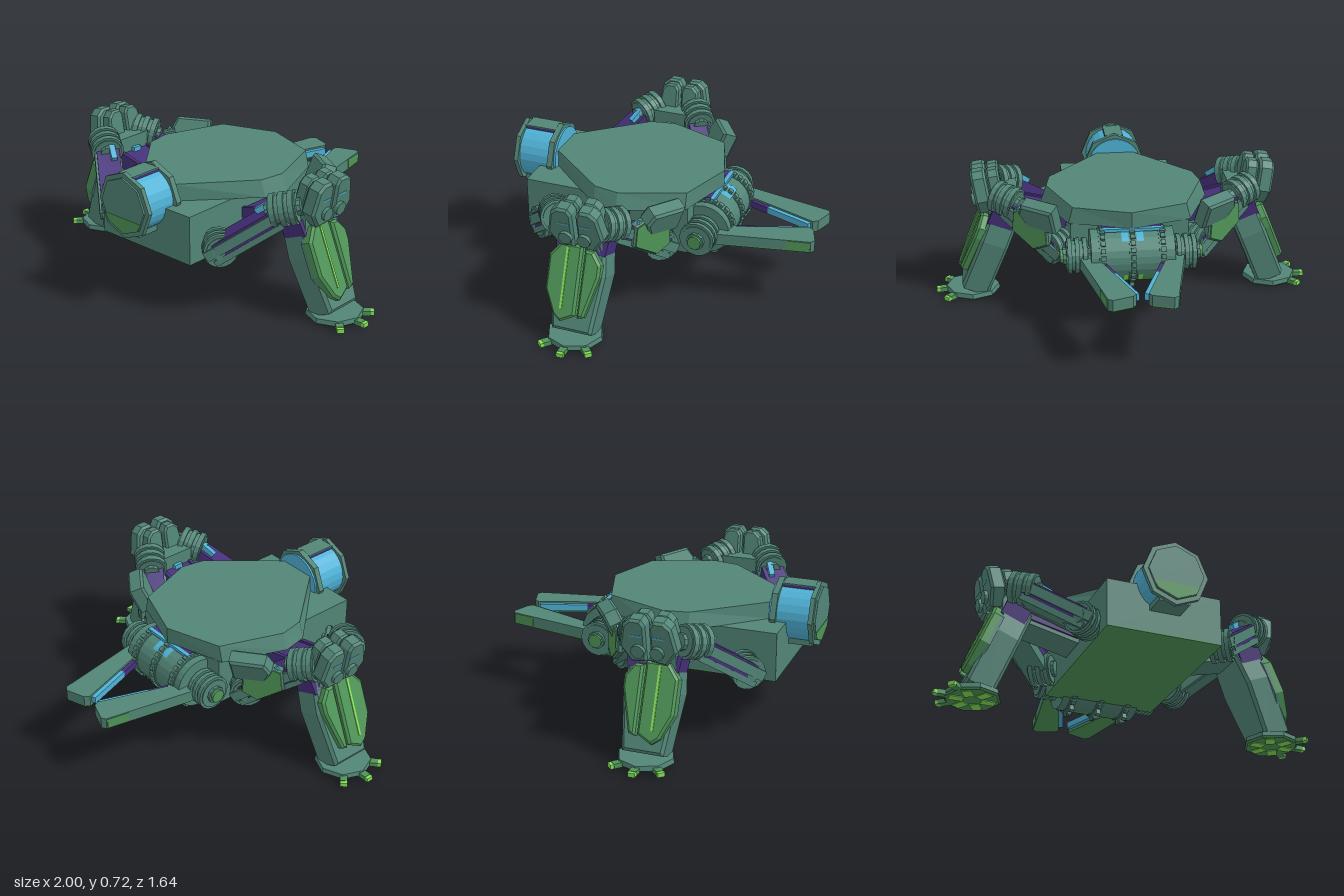
import * as THREE from 'three';

const paint = (name, color) => {
  const m = new THREE.MeshStandardMaterial({ color, flatShading: true });
  m.name = name;
  return m;
};
const V = (p) => new THREE.Vector3(...p);

export function createModel() {
  const teal = paint('teal armour', 0x528577);
  const green = paint('green panel', 0x4f9558);
  const lime = paint('lime light', 0x86e35a);
  const purple = paint('purple frame', 0x46307a);
  const blue = paint('blue inner', 0x4fb2d6);

  const root = new THREE.Group();
  root.name = 'walker';

  const add = (parent, name, geo, mat, pos = [0, 0, 0]) => {
    const m = new THREE.Mesh(geo, mat);
    m.name = name;
    m.position.set(...pos);
    parent.add(m);
    return m;
  };
  const box = (parent, name, size, pos, mat) => add(parent, name, new THREE.BoxGeometry(...size), mat, pos);
  // cylinder running from a to b
  const rod = (parent, name, a, b, r, mat, seg = 16) => {
    const m = add(parent, name, new THREE.CylinderGeometry(r, r, V(a).distanceTo(V(b)), seg), mat);
    m.position.copy(V(a).add(V(b)).multiplyScalar(0.5));
    m.quaternion.setFromUnitVectors(new THREE.Vector3(0, 1, 0), V(b).sub(V(a)).normalize());
    return m;
  };
  // beam from a to b: local x horizontal, local y up
  const beam = (parent, name, a, b, w, h, mat) => {
    const m = box(parent, name, [w, h, V(a).distanceTo(V(b))], [0, 0, 0], mat);
    m.position.copy(V(a).add(V(b)).multiplyScalar(0.5));
    m.lookAt(V(b));
    return m;
  };
  // slab with an outline in (z, y), growing along +x
  const slab = (parent, name, pts, depth, mat, pos = [0, 0, 0], bevel = 0) => {
    const shape = new THREE.Shape(pts.map(([z, y]) => new THREE.Vector2(-z, y)));
    const geo = new THREE.ExtrudeGeometry(shape, {
      depth, bevelEnabled: bevel > 0, bevelSize: bevel, bevelThickness: bevel, bevelOffset: -bevel, bevelSegments: 1,
    });
    return add(parent, name, geo.rotateY(Math.PI / 2), mat, pos);
  };
  // joint: drum with raised rings and end caps along a to b
  const joint = (parent, name, a, b, r) => {
    const g = new THREE.Group();
    g.name = name;
    parent.add(g);
    const at = (t) => V(a).lerp(V(b), t).toArray();
    rod(g, 'jointCore', a, b, r * 0.85, teal);
    for (const t of [0.15, 0.5, 0.85]) rod(g, 'jointRing', at(t - 0.1), at(t + 0.1), r, teal);
    rod(g, 'jointCap', at(-0.15), at(1.15), r * 0.5, teal, 10);
  };

  // hull
  box(root, 'lowerHull', [0.6, 0.246, 0.88], [0, 0.407, 0.23], teal);
  box(root, 'hullUnderside', [0.6, 0.006, 0.88], [0, 0.281, 0.23], green);
  const half = [[0.31, -0.2], [0.435, 0.12], [0.41, 0.25], [0.11, 0.58]];
  const outline = [[0, -0.3], ...half, ...half.slice().reverse().map(([x, z]) => [-x, z])];
  const deck = new THREE.ExtrudeGeometry(
    new THREE.Shape(outline.map(([x, z]) => new THREE.Vector2(x, -z))), { depth: 0.085, bevelEnabled: false });
  deck.rotateX(-Math.PI / 2);
  const dp = deck.attributes.position;
  for (let i = 0; i < dp.count; i++) if (dp.getY(i) > 0.04) dp.setX(i, dp.getX(i) * 0.93);
  deck.computeVertexNormals();
  add(root, 'upperDeck', deck, teal, [0, 0.53, 0]);

  // front turret drum with octagonal flanges
  const turret = new THREE.Group();
  turret.name = 'turret';
  turret.position.set(0, 0.547, 0);
  root.add(turret);
  const disc = (name, r, z0, z1, mat, seg = 8) => {
    const g = new THREE.CylinderGeometry(r, r, z1 - z0, seg).rotateX(Math.PI / 2);
    return add(turret, name, g, mat, [0, 0, (z0 + z1) / 2]);
  };
  disc('drum', 0.145, 0.58, 0.8, blue, 24);
  disc('rearFlange', 0.17, 0.59, 0.62, teal);
  disc('frontFlange', 0.17, 0.785, 0.808, teal);
  disc('facePlate', 0.145, 0.808, 0.818, teal);
  box(turret, 'topSpine', [0.098, 0.035, 0.17], [0, 0.1325, 0.705], purple);
  box(turret, 'topStrip', [0.1, 0.006, 0.17], [0, 0.152, 0.705], teal);
  box(turret, 'bottomStrip', [0.16, 0.04, 0.17], [0, -0.13, 0.705], teal);
  const mark = new THREE.Shape([[-0.122, -0.062], [-0.1, -0.1], [0, -0.142], [0.1, -0.1], [0.122, -0.062]]
    .map((p) => new THREE.Vector2(...p)));
  add(turret, 'faceMark', new THREE.ExtrudeGeometry(mark, { depth: 0.004, bevelEnabled: false }), green, [0, 0, 0.816]);

  // rear drum with fine toothed rings
  const cy = 0.38, cz = -0.265;
  rod(root, 'rearDrum', [-0.21, cy, cz], [0.21, cy, cz], 0.132, teal, 24);
  for (const x of [-0.15, 0, 0.15]) {
    rod(root, 'gearRing', [x - 0.02, cy, cz], [x + 0.02, cy, cz], 0.137, teal, 24);
    for (let i = 0; i < 24; i++) {
      const a = (i / 24) * Math.PI * 2;
      const r = Math.sin(a) < -0.9 ? 0.15 : 0.132;
      const t = box(root, 'gearTooth', [0.024, 0.024, 0.03],
        [x, cy + r * Math.sin(a), cz - r * Math.cos(a)], teal);
      t.rotation.x = a;
    }
  }
  // coloured patches wrapped round the drum
  const patch = (name, x0, x1, t0, t1, mat) => add(root, name,
    new THREE.CylinderGeometry(0.1355, 0.1355, x1 - x0, 8, 1, true, t0 * Math.PI, (t1 - t0) * Math.PI)
      .rotateZ(Math.PI / 2), mat, [(x0 + x1) / 2, cy, cz]);
  patch('topPatch', -0.055, 0.055, 0.5, 0.72, blue);
  for (const s of [-1, 1]) {
    patch('lowPatch', s * 0.075 - 0.045, s * 0.075 + 0.045, 1.15, 1.5, green);
    patch('lowLight', s * 0.035 - 0.012, s * 0.035 + 0.012, 1.15, 1.3, lime).scale.set(1, 1.01, 1.01);
    patch('endPatch', s * 0.19 - 0.018, s * 0.19 + 0.018, 1.1, 1.45, purple);
  }
  box(root, 'drumMount', [0.3, 0.12, 0.1], [0, 0.47, -0.23], purple);
  box(root, 'drumStrip', [0.32, 0.016, 0.02], [0, 0.522, -0.29], blue);

  // everything on the left side, mirrored afterwards
  const side = new THREE.Group();
  side.name = 'leftSide';
  root.add(side);

  // rear claw
  joint(side, 'clawJoint', [0.22, cy, cz], [0.33, cy, cz], 0.09);
  rod(side, 'clawBolt', [0.34, cy, cz], [0.36, cy, cz], 0.035, green, 12);
  const clawPts = [[0.27, -0.3], [0.17, -0.36], [0.03, -0.765], [0.045, -0.79], [0.145, -0.825], [0.168, -0.81]];
  const flat = (name, pts, h, y, mat) => add(side, name, new THREE.ExtrudeGeometry(
    new THREE.Shape(pts.map(([x, z]) => new THREE.Vector2(x, -z))), { depth: h, bevelEnabled: false })
    .rotateX(-Math.PI / 2), mat, [0, y, 0]);
  flat('claw', clawPts, 0.052, 0.343, teal);
  flat('clawUnderside', clawPts, 0.008, 0.335, green);
  beam(side, 'clawEdge', [0.108, 0.368, -0.51], [0.024, 0.368, -0.75], 0.025, 0.035, blue);
  beam(side, 'clawEdgeRoot', [0.15, 0.368, -0.39], [0.108, 0.368, -0.51], 0.025, 0.035, purple);
  beam(side, 'clawTip', [0.191, 0.366, -0.69], [0.17, 0.366, -0.805], 0.007, 0.052, green);

  // two arms in a V from hull to knee
  const arms = [
    { name: 'frontArm', a: [0.36, 0.35, 0.55], b: [0.61, 0.56, 0.35], s: 1 },
    { name: 'rearArm', a: [0.36, 0.36, -0.1], b: [0.61, 0.56, 0.07], s: -1 },
  ];
  for (const { name, a, b, s } of arms) {
    const lift = (p, dy, dz) => [p[0], p[1] + dy, p[2] + s * dz];
    joint(side, name + 'HipJoint', [0.32, a[1], a[2] - s * 0.05], [0.41, a[1], a[2] + s * 0.02], 0.085);
    beam(side, name, a, b, 0.12, 0.08, purple);
    beam(side, name + 'Underside', lift(a, -0.06, 0), lift(b, -0.06, 0), 0.125, 0.03, teal);
    for (const dz of [0.075, -0.075])
      beam(side, name + 'Rail', lift(a, -0.025, dz), lift(b, -0.025, dz), 0.025, 0.05, teal);
    joint(side, name + 'KneeJoint', [0.56, 0.55, b[2] + s * 0.04], [0.67, 0.58, b[2] - s * 0.03], 0.085);
  }
  beam(side, 'frontPiston', [0.49, 0.535, 0.41], [0.55, 0.585, 0.375], 0.03, 0.03, blue);
  beam(side, 'rearPiston', [0.42, 0.47, -0.135], [0.56, 0.56, -0.05], 0.016, 0.03, blue);

  // middle strut with side rails
  beam(side, 'middleFrame', [0.3, 0.42, 0.2], [0.6, 0.49, 0.2], 0.15, 0.07, purple);
  beam(side, 'middleUnderside', [0.3, 0.37, 0.2], [0.6, 0.44, 0.2], 0.18, 0.03, teal);
  for (const z of [0.11, 0.29]) beam(side, 'middleRail', [0.3, 0.42, z], [0.62, 0.495, z], 0.02, 0.085, purple);
  box(side, 'middleLight', [0.02, 0.03, 0.05], [0.545, 0.52, 0.2], blue);
  box(side, 'middleBlock', [0.15, 0.13, 0.21], [0.63, 0.53, 0.195], teal);

  // rear hip pod, leaning outward at the top
  const pod = slab(side, 'rearPod', [[-0.08, 0.13], [0.1, 0.14], [0.13, 0.08], [0.09, -0.02], [-0.07, -0.02]],
    0.06, teal, [0.4, 0.505, -0.1], 0.012);
  pod.rotation.set(0, 0.95, -0.4);

  // hexagonal shield along the back of the rear arm
  const shield = new THREE.Group();
  shield.name = 'rearShield';
  shield.position.set(0.49, 0.465, -0.085);
  shield.rotation.set(-0.58, 0.98, 0, 'YXZ');
  side.add(shield);
  const hex = [[-0.13, 0], [-0.07, 0.08], [0.08, 0.08], [0.13, 0.02], [0.08, -0.08], [-0.08, -0.08]];
  slab(shield, 'shieldPlate', hex, 0.035, teal, [-0.02, 0, 0], 0.008);
  slab(shield, 'shieldPanel', hex.map(([z, y]) => [z * 0.92, y * 0.9]), 0.009, green, [0.02, 0, 0]);

  // lower leg, local y up the shin and local x outward
  const leg = new THREE.Group();
  leg.name = 'lowerLeg';
  leg.position.set(0.812, 0.045, 0.187);
  leg.rotation.z = 0.39;
  side.add(leg);
  slab(leg, 'shin', [[-0.105, 0], [0.105, 0], [0.14, 0.3], [0.12, 0.48], [-0.12, 0.48], [-0.14, 0.3]],
    0.12, teal, [-0.075, 0, 0], 0.015);
  slab(leg, 'shinFrame', [[-0.128, 0.4], [0.128, 0.4], [0.138, 0.48], [-0.138, 0.48]], 0.13, purple, [-0.07, 0, 0]);
  const guards = {
    wideGuard: [[0.145, 0.37], [0.145, 0.2], [0.09, 0.08], [0.05, 0.05], [-0.025, 0.09], [-0.025, 0.44], [0.09, 0.44]],
    narrowGuard: [[-0.035, 0.42], [-0.035, 0.08], [-0.07, 0.09], [-0.125, 0.3], [-0.125, 0.36], [-0.08, 0.42]],
  };
  for (const [name, pts] of Object.entries(guards)) {
    slab(leg, name, pts, 0.018, teal, [0.035, 0, 0]);
    slab(leg, name + 'Panel', pts, 0.035, green, [0.053, 0, 0], 0.012);
  }
  box(leg, 'lightStrip', [0.009, 0.31, 0.012], [0.1, 0.27, 0.05], lime);

  // paired shoulder plates over the knee
  const shoulder = new THREE.Group();
  shoulder.name = 'shoulder';
  shoulder.position.set(0.7, 0.5, 0.185);
  shoulder.rotation.z = -0.17;
  side.add(shoulder);
  const plate = [[0.01, 0], [0.09, -0.01], [0.145, 0.07], [0.12, 0.19], [0.085, 0.22], [0.03, 0.22], [0.01, 0.19]];
  for (const s of [1, -1]) {
    const pts = plate.map(([z, y]) => [z * s, y]);
    slab(shoulder, 'shoulderPlate', pts, 0.055, teal, [-0.005, 0, 0], 0.012);
    slab(shoulder, 'innerPlate', pts.map(([z, y]) => [z * 0.85, y * 0.95]), 0.045, teal, [-0.075, 0, 0], 0.01);
    rod(shoulder, 'shoulderBolt', [0.05, 0.06, s * 0.048], [0.08, 0.06, s * 0.048], 0.034, teal, 12);
    box(shoulder, 'shoulderSlit', [0.008, 0.008, 0.06], [0.06, 0.135, s * 0.055], blue);
  }

  // foot with toes
  const foot = new THREE.Group();
  foot.name = 'foot';
  foot.position.set(0.807, 0, 0.187);
  side.add(foot);
  add(foot, 'footPlate', new THREE.CylinderGeometry(0.14, 0.145, 0.024, 8), teal, [0, 0.026, 0]);
  add(foot, 'footSole', new THREE.CylinderGeometry(0.142, 0.135, 0.009, 8), green, [0, 0.0095, 0]);
  for (let i = 0; i < 6; i++) {
    const a = (i / 6) * Math.PI * 2;
    const pad = box(foot, 'solePad', [0.07, 0.006, 0.05], [0.08 * Math.cos(a), 0.004, 0.08 * Math.sin(a)], lime);
    pad.rotation.y = -a;
  }
  for (const a of [-0.75, 0, 0.75]) {
    const toe = box(foot, 'toe', [0.05, 0.024, 0.038], [0.15 * Math.cos(a), 0.018, 0.15 * Math.sin(a)], green);
    toe.rotation.y = -a;
    const tip = box(foot, 'toeTip', [0.022, 0.022, 0.036], [0.182 * Math.cos(a), 0.017, 0.182 * Math.sin(a)], lime);
    tip.rotation.y = -a;
  }

  // mirrored right side, with corners reordered so faces point outward
  const right = new THREE.Group();
  right.name = 'rightSide';
  root.updateMatrixWorld(true);
  side.traverse((o) => {
    if (!o.isMesh) return;
    let g = o.geometry.clone().applyMatrix4(o.matrixWorld).scale(-1, 1, 1);
    if (g.index) g = g.toNonIndexed();
    const p = g.attributes.position;
    const a = new THREE.Vector3(), b = new THREE.Vector3();
    for (let i = 0; i < p.count; i += 3) {
      a.fromBufferAttribute(p, i + 1);
      b.fromBufferAttribute(p, i + 2);
      p.setXYZ(i + 1, b.x, b.y, b.z);
      p.setXYZ(i + 2, a.x, a.y, a.z);
    }
    g.computeVertexNormals();
    add(right, o.name, g, o.material);
  });
  root.add(right);
  return root;
}
